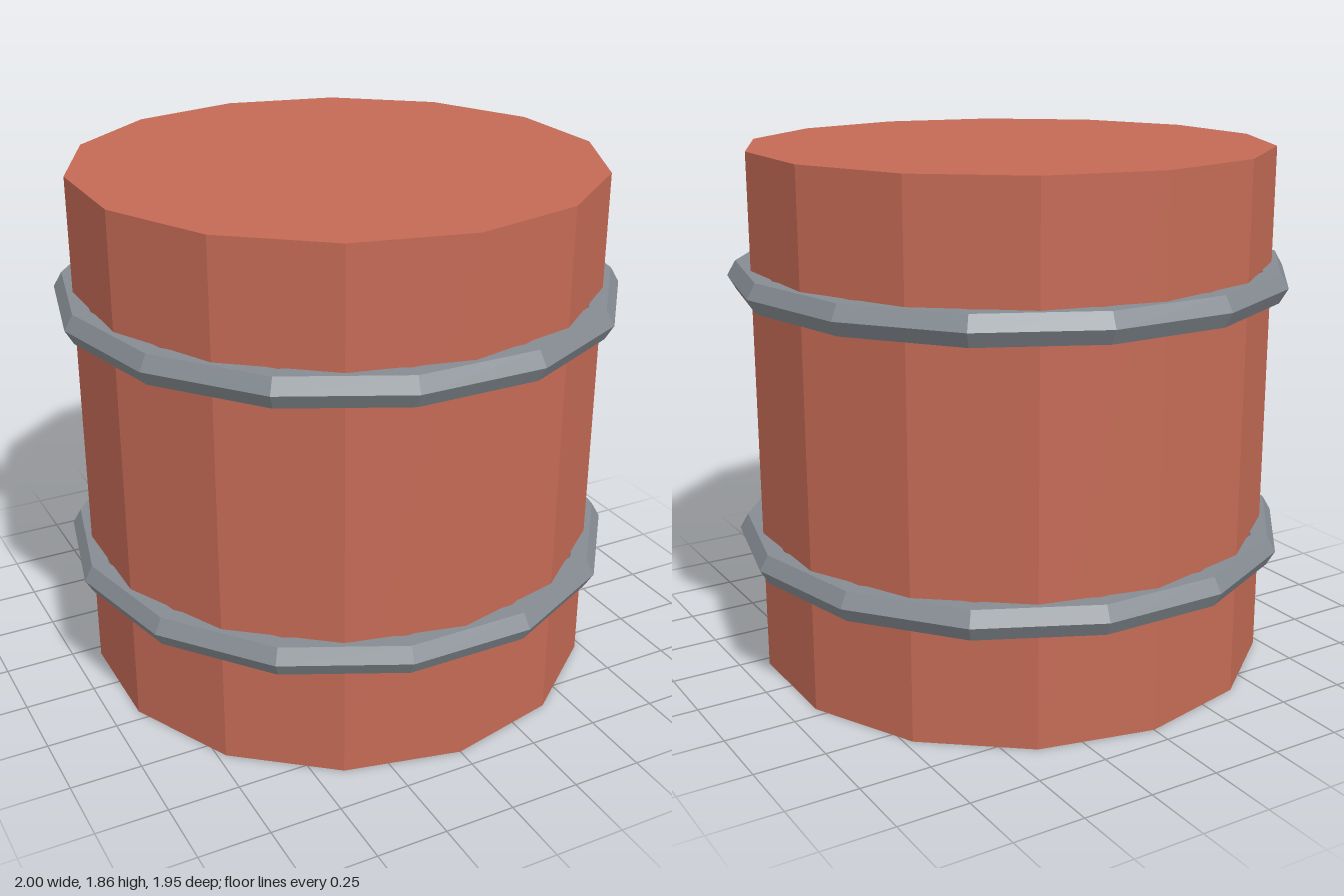
import * as THREE from 'three';

const SIDES = 14;

export function createModel() {
  const model = new THREE.Group();
  model.name = 'barrel';
  const red = new THREE.MeshStandardMaterial({ color: 0xc46a55, flatShading: true });
  const steel = new THREE.MeshStandardMaterial({ color: 0x858c92, flatShading: true });

  // Straight-sided drum with closed ends
  const height = 1.857;
  const drum = new THREE.Mesh(new THREE.CylinderGeometry(0.925, 0.925, height, SIDES), red);
  drum.name = 'drum';
  drum.position.y = height / 2;
  model.add(drum);

  // Hexagonal-section hoops around the drum, corners offset from the drum's
  const hoopGeometry = new THREE.TorusGeometry(0.94, 0.06, 6, SIDES).rotateX(Math.PI / 2);
  for (const [name, y] of [['lowerHoop', 0.457], ['upperHoop', 1.404]]) {
    const hoop = new THREE.Mesh(hoopGeometry, steel);
    hoop.name = name;
    hoop.position.y = y;
    model.add(hoop);
  }

  return model;
}
